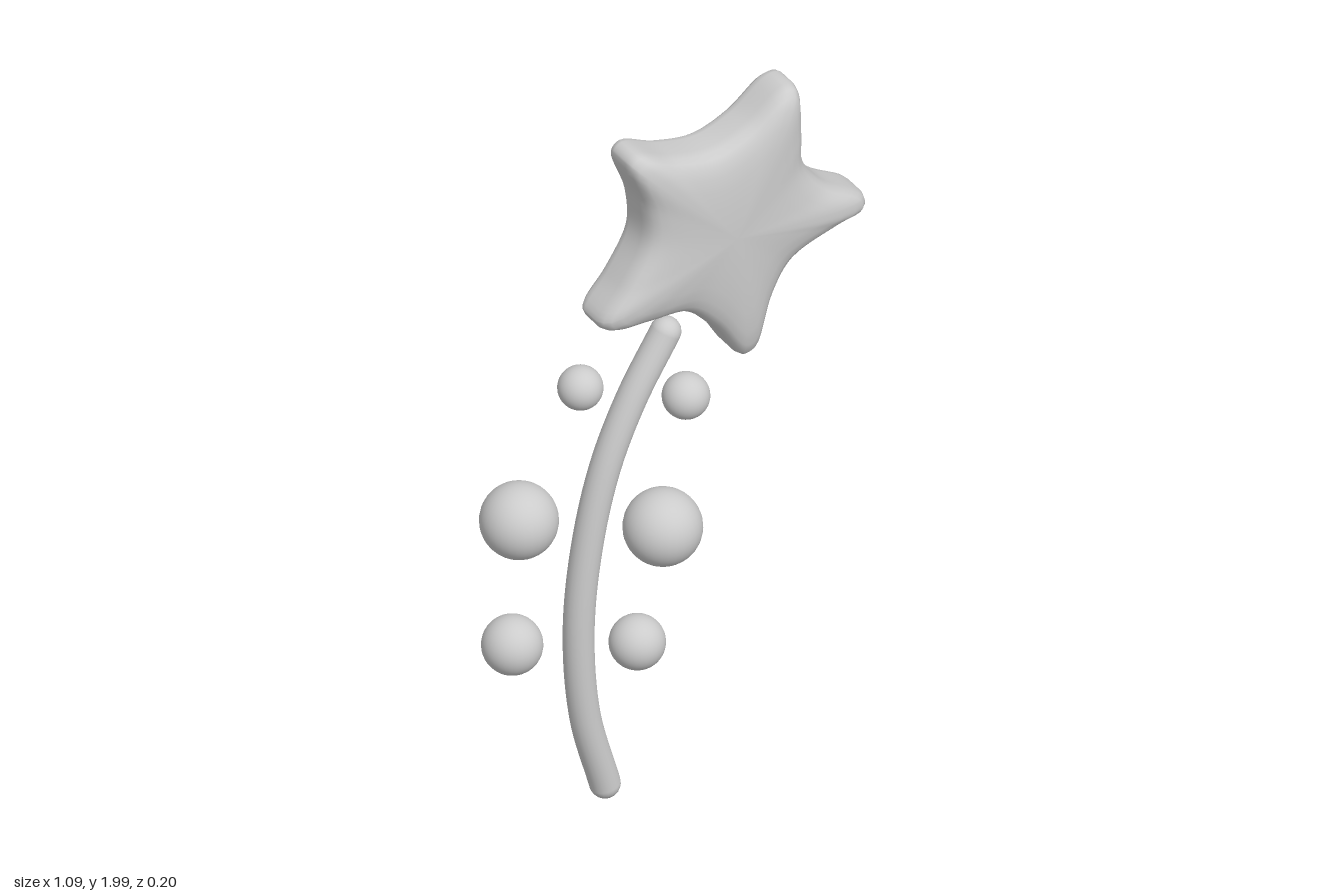
import * as THREE from 'three';

const material = new THREE.MeshStandardMaterial({ color: 0xcccccc });

function part(name, geometry, x = 0, y = 0, z = 0) {
  const mesh = new THREE.Mesh(geometry, material);
  mesh.name = name;
  mesh.position.set(x, y, z);
  return mesh;
}

// Puffy star: a rounded outline shrunk towards its centre in rings of varying depth
function starGeometry(cx, cy) {
  const outline = [
    [-0.155, 1.92], [-0.13, 1.943], [-0.03, 1.905], [0.09, 1.885], [0.195, 1.92],
    [0.30, 1.992], [0.338, 1.985], [0.35, 1.87], [0.355, 1.76], [0.42, 1.665],
    [0.535, 1.588], [0.54, 1.555], [0.46, 1.533], [0.32, 1.48], [0.26, 1.39],
    [0.207, 1.235], [0.175, 1.228], [0.095, 1.34], [0.0, 1.425], [-0.12, 1.437],
    [-0.225, 1.447], [-0.24, 1.475], [-0.175, 1.56], [-0.112, 1.675], [-0.115, 1.79],
  ].map(([x, y]) => new THREE.Vector3(x - cx, y - cy, 0));
  const n = 150;
  const points = new THREE.CatmullRomCurve3(outline, true).getPoints(n).slice(0, n);

  // [scale of outline, z] from the domed front, round the rim, to the flat back
  const rings = [
    [0, 0.1], [0.2, 0.099], [0.4, 0.097], [0.6, 0.093], [0.76, 0.087], [0.87, 0.078],
    [0.94, 0.067], [0.98, 0.05], [1, 0.028], [1, -0.03], [0.99, -0.045],
    [0.96, -0.055], [0.9, -0.06], [0.5, -0.062], [0, -0.062],
  ];
  const positions = [], index = [];
  rings.forEach(([s, z], j) => {
    points.forEach((p, i) => {
      positions.push(p.x * s, p.y * s, z);
      if (j === rings.length - 1) return;
      const a = j * n + i, b = j * n + (i + 1) % n;
      if (j > 0) index.push(a, b, a + n);
      if (j < rings.length - 2) index.push(b, b + n, a + n);
    });
  });
  const geometry = new THREE.BufferGeometry();
  geometry.setAttribute('position', new THREE.Float32BufferAttribute(positions, 3));
  geometry.setIndex(index);
  geometry.computeVertexNormals();
  // The centre vertices are stacked, so give them all the axis normal
  for (let i = 0; i < n; i++) {
    geometry.attributes.normal.setXYZ(i, 0, 0, 1);
    geometry.attributes.normal.setXYZ((rings.length - 1) * n + i, 0, 0, -1);
  }
  return geometry;
}

export function createModel() {
  const model = new THREE.Group();
  model.name = 'starWand';
  model.add(part('star', starGeometry(0.13, 1.63), 0.13, 1.63));

  // Curved handle with rounded ends
  const handle = new THREE.Group();
  handle.name = 'handle';
  const path = new THREE.CatmullRomCurve3([
    [-0.02, 1.347], [-0.12, 1.18], [-0.197, 1.0], [-0.25, 0.78],
    [-0.275, 0.53], [-0.257, 0.27], [-0.198, 0.042],
  ].map(([x, y]) => new THREE.Vector3(x, y, 0)));
  handle.add(part('handleRod', new THREE.TubeGeometry(path, 64, 0.04, 20)));
  for (const [name, t] of [['handleTop', 0], ['handleBottom', 1]]) {
    const p = path.getPoint(t);
    handle.add(part(name, new THREE.SphereGeometry(0.04, 20, 14), p.x, p.y, p.z));
  }
  model.add(handle);

  // Floating beads on both sides of the handle: x, y, radius
  const beads = new THREE.Group();
  beads.name = 'beads';
  [
    [-0.27, 1.267, 0.058], [0.04, 1.13, 0.061], [-0.45, 0.93, 0.1],
    [-0.028, 0.757, 0.101], [-0.47, 0.56, 0.078], [-0.103, 0.435, 0.072],
  ].forEach(([x, y, r], i) => {
    beads.add(part(`bead${i + 1}`, new THREE.SphereGeometry(r, 32, 24), x, y));
  });
  model.add(beads);
  return model;
}
